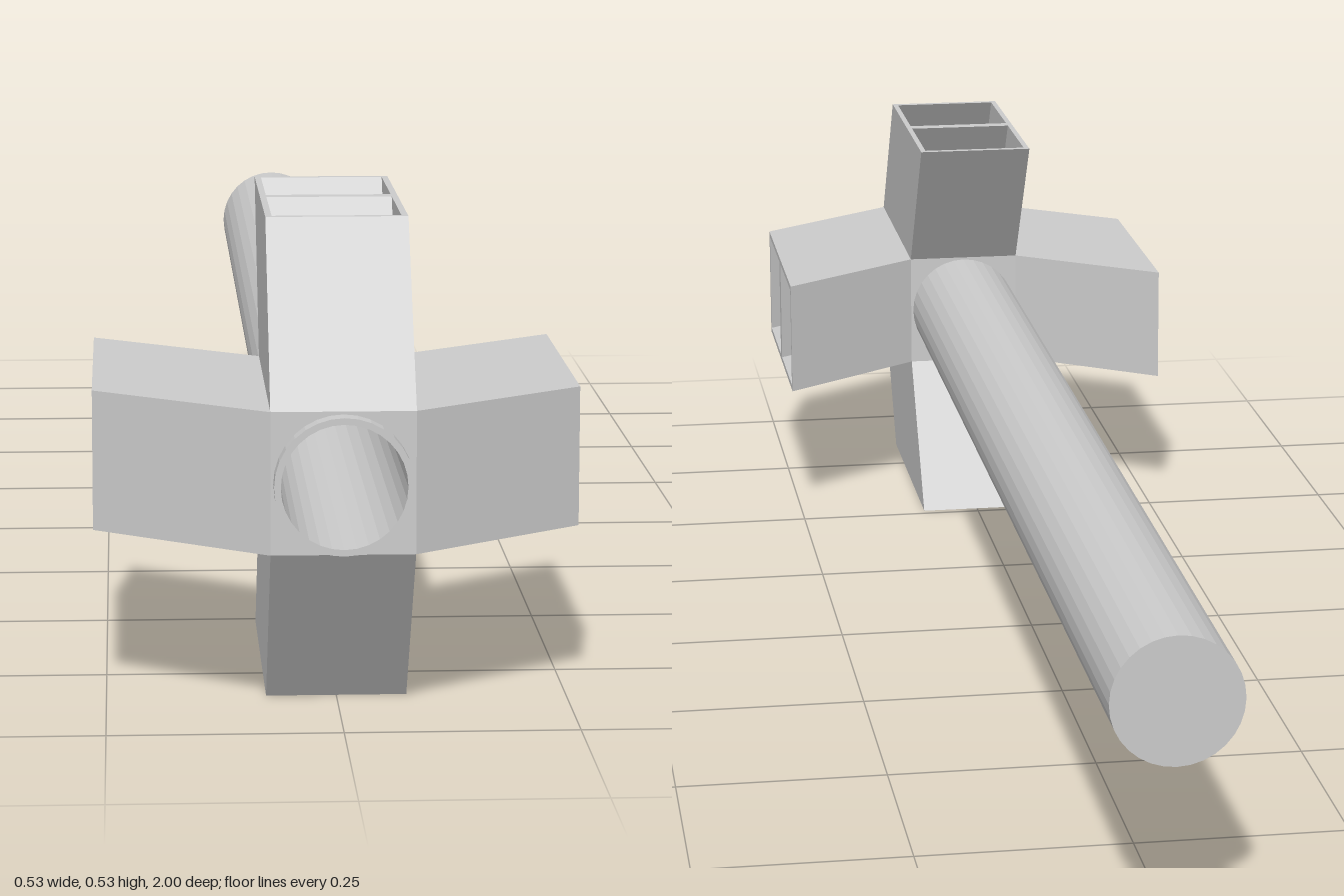
import * as THREE from 'three';

const AXIS_Y = 0.263;              // height of the shaft axis
const HALF = 0.0765;               // half width of the square collar and vanes
const REACH = 0.263;               // tip distance of a vane from the axis
const BACK = 0.644, FRONT = 0.979; // collar extent along z
const SWEEP = 0.132;               // how far a vane tip leans back
const WALL = 0.009;

const material = new THREE.MeshStandardMaterial({ color: 0xcccccc, flatShading: true });

function rectangle(PathType, x0, y0, x1, y1) {
  return new PathType([[x0, y0], [x1, y0], [x1, y1], [x0, y1]].map(([x, y]) => new THREE.Vector2(x, y)));
}

// Hollow shaft, open at the front and closed at the back
function shaftGeometry() {
  const profile = [[0, -1], [0.0735, -1], [0.0735, 1], [0.0665, 1], [0.0665, -0.99], [0, -0.99]];
  const geometry = new THREE.LatheGeometry(profile.map(([r, y]) => new THREE.Vector2(r, y)), 32);
  return geometry.rotateX(Math.PI / 2);
}

// Square collar around the shaft
function collarGeometry() {
  const shape = rectangle(THREE.Shape, -HALF, -HALF, HALF, HALF);
  const hole = new THREE.Path();
  hole.absarc(0, 0, 0.073, 0, Math.PI * 2, true);
  shape.holes.push(hole);
  const geometry = new THREE.ExtrudeGeometry(shape, { depth: FRONT - BACK, bevelEnabled: false, curveSegments: 32 });
  return geometry.translate(0, 0, BACK);
}

// Swept rectangular duct with two open cells, pointing up
function vaneGeometry() {
  const shape = rectangle(THREE.Shape, -HALF, -FRONT, HALF, -BACK);
  const cell = (FRONT - BACK - 2 * WALL - 0.018) / 2;
  const inner = HALF - 0.007;
  for (const start of [-FRONT + WALL, -BACK - WALL - cell]) {
    shape.holes.push(rectangle(THREE.Path, -inner, start, inner, start + cell));
  }
  const depth = REACH - HALF;
  const geometry = new THREE.ExtrudeGeometry(shape, { depth, bevelEnabled: false });
  // Lean the duct backwards as it rises from the collar
  const p = geometry.attributes.position;
  for (let i = 0; i < p.count; i++) p.setY(i, p.getY(i) + (p.getZ(i) / depth) * SWEEP);
  geometry.rotateX(-Math.PI / 2).translate(0, HALF, 0);
  geometry.computeVertexNormals();
  return geometry;
}

export function createModel() {
  const model = new THREE.Group();
  model.name = 'vanedShaft';

  const add = (name, geometry) => {
    const mesh = new THREE.Mesh(geometry, material);
    mesh.name = name;
    mesh.position.y = AXIS_Y;
    model.add(mesh);
    return mesh;
  };

  add('shaft', shaftGeometry());
  add('collar', collarGeometry());

  // Four identical vanes around the collar
  const vane = vaneGeometry();
  ['topVane', 'leftVane', 'bottomVane', 'rightVane'].forEach((name, i) => {
    add(name, vane).rotation.z = -i * Math.PI / 2;
  });

  return model;
}
